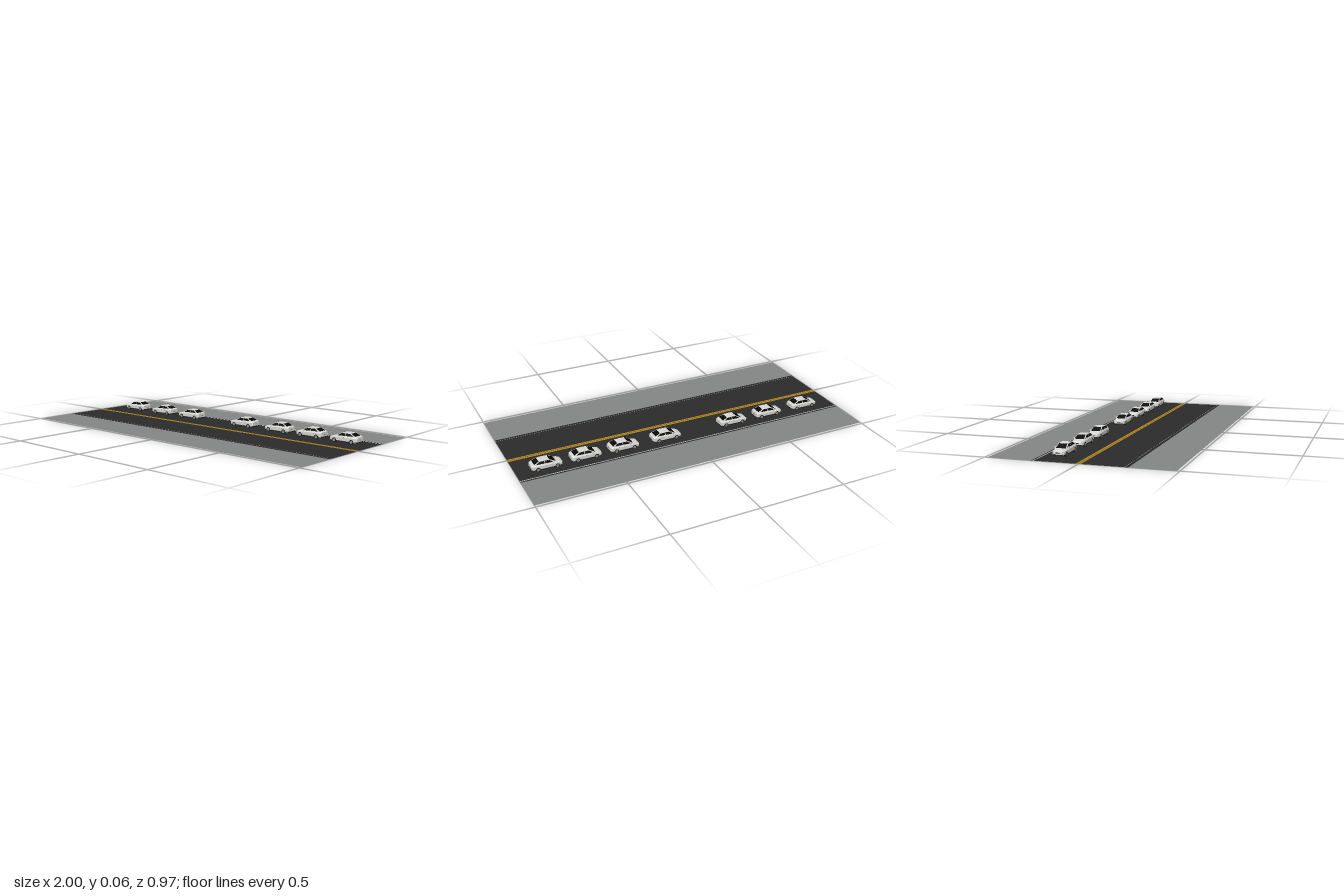
import * as THREE from 'three';
import { toCreasedNormals } from 'three/addons/utils/BufferGeometryUtils.js';

const mat = (name, color, side = THREE.FrontSide) =>
  Object.assign(new THREE.MeshStandardMaterial({ color, side }), { name });

// Joins chamfered cross-sections [x, bottom, top, halfWidth] along x.
function loft(stations) {
  const pos = [], index = [], n = 8;
  for (const [x, b, t, w] of stations) {
    const h = t - b, s = w * 0.82;
    const ring = [[-s, t], [s, t], [w, t - h * 0.25], [w, b + h * 0.2],
      [s, b], [-s, b], [-w, b + h * 0.2], [-w, t - h * 0.25]];
    for (const [z, y] of ring) pos.push(x, y, z);
  }
  const last = (stations.length - 1) * n;
  for (let i = 0; i < last; i += n) {
    for (let j = 0; j < n; j++) {
      const k = (j + 1) % n;
      index.push(i + j, i + k, i + n + k, i + j, i + n + k, i + n + j);
    }
  }
  for (let j = 1; j < n - 1; j++) index.push(0, j + 1, j, last, last + j, last + j + 1);
  const g = new THREE.BufferGeometry();
  g.setAttribute('position', new THREE.Float32BufferAttribute(pos, 3));
  g.setIndex(index);
  return toCreasedNormals(g, 0.5);
}

// A rectangle in the u, v space of a four-cornered face, lifted off it.
function patch([a, b, c, d], u0 = 0, u1 = 1, v0 = 0, v1 = 1, lift = 0) {
  const [A, B, C, D] = [a, b, c, d].map(p => new THREE.Vector3(...p));
  const normal = B.clone().sub(A).cross(D.clone().sub(A)).normalize().multiplyScalar(lift);
  const at = (u, v) => A.clone().lerp(B, u).lerp(D.clone().lerp(C, u), v).add(normal);
  const p = [at(u0, v0), at(u1, v0), at(u1, v1), at(u0, v1)];
  const g = new THREE.BufferGeometry().setFromPoints([p[0], p[1], p[2], p[0], p[2], p[3]]);
  g.computeVertexNormals();
  return g;
}

export function createModel() {
  const DS = THREE.DoubleSide;
  const paint = mat('silver paint', 0xd6d6d2, DS);
  const glass = mat('black glass', 0x080808, DS);
  const rubber = mat('dark rubber', 0x1c1c1c);
  const metal = mat('wheel metal', 0x8c8c8c);
  const amber = mat('amber lamp', 0xb07c28);
  const asphalt = mat('asphalt', 0x2b2b2b, DS);
  const pavement = mat('pavement', 0x838584, DS);
  const yellow = mat('yellow line', 0xb08418, DS);
  const white = mat('white line', 0xb4b4b4, DS);

  const root = new THREE.Group();
  root.name = 'roadWithParkedCars';

  const add = (parent, name, geometry, material, x = 0, y = 0, z = 0) => {
    const m = new THREE.Mesh(geometry, material);
    m.name = name;
    m.position.set(x, y, z);
    parent.add(m);
    return m;
  };
  const box = (parent, name, material, w, h, d, x, y, z) =>
    add(parent, name, new THREE.BoxGeometry(w, h, d), material, x, y, z);

  // Flat road strips, running the full length
  const strip = (name, material, z0, z1, y = 0) =>
    add(root, name, new THREE.PlaneGeometry(2, z1 - z0).rotateX(-Math.PI / 2), material, 0, y, (z0 + z1) / 2);
  strip('farPavement', pavement, -0.485, -0.25);
  strip('farLane', asphalt, -0.25, -0.016);
  strip('farCentreLine', yellow, -0.016, -0.003);
  strip('centreGap', asphalt, -0.003, -0.001);
  strip('nearCentreLine', yellow, -0.001, 0.01);
  strip('nearLane', asphalt, 0.01, 0.25);
  strip('nearPavement', pavement, 0.25, 0.485);
  strip('farEdgeLine', white, -0.241, -0.234, 0.0008);
  strip('nearEdgeLine', white, 0.231, 0.233, 0.0008);

  // Car, nose towards -x
  const car = new THREE.Group();
  add(car, 'body', loft([
    [-0.0875, 0.012, 0.025, 0.024],
    [-0.082, 0.009, 0.03, 0.031],
    [-0.066, 0.008, 0.034, 0.034],
    [-0.045, 0.008, 0.038, 0.035],
    [0.055, 0.008, 0.041, 0.035],
    [0.078, 0.009, 0.042, 0.033],
    [0.0865, 0.012, 0.039, 0.029],
  ]), paint);

  // Cabin faces: corners run bottom left, bottom right, top right, top left
  const P = z => ({
    fb: [-0.052, 0.036, z * 0.031], rb: [0.075, 0.041, z * 0.031],
    ft: [-0.013, 0.056, z * 0.025], rt: [0.043, 0.056, z * 0.025],
  });
  const L = P(1), R = P(-1);
  const windscreen = [R.fb, L.fb, L.ft, R.ft];
  const rearScreen = [L.rb, R.rb, R.rt, L.rt];
  const leftSide = [L.fb, L.rb, L.rt, L.ft];
  const rightSide = [R.rb, R.fb, R.ft, R.rt];
  const roof = [L.ft, L.rt, R.rt, R.ft];
  for (const face of [windscreen, rearScreen, leftSide, rightSide]) add(car, 'cabin', patch(face), paint);
  add(car, 'roof', patch(roof), paint);
  add(car, 'roofCrown', loft([
    [-0.012, 0.055, 0.0562, 0.023], [0.004, 0.055, 0.058, 0.024],
    [0.028, 0.055, 0.058, 0.024], [0.042, 0.055, 0.0562, 0.023],
  ]), paint);
  add(car, 'windscreen', patch(windscreen, 0.06, 0.94, 0.08, 0.96, 0.0006), glass);
  add(car, 'rearWindow', patch(rearScreen, 0.06, 0.94, 0.12, 0.96, 0.0006), glass);
  for (const side of [leftSide, rightSide]) {
    add(car, 'sideWindow', patch(side, 0.08, 0.48, 0.12, 0.9, 0.0006), glass);
    add(car, 'sideWindow', patch(side, 0.52, 0.92, 0.12, 0.9, 0.0006), glass);
  }

  // Bumpers, grille and number plate recess
  box(car, 'rearBumper', rubber, 0.006, 0.005, 0.058, 0.084, 0.0125, 0);
  box(car, 'frontBumper', rubber, 0.006, 0.004, 0.05, -0.0845, 0.012, 0);
  box(car, 'grille', rubber, 0.003, 0.004, 0.024, -0.0865, 0.021, 0);
  box(car, 'rearPlate', metal, 0.002, 0.005, 0.016, 0.0862, 0.025, 0);

  const wheel = new THREE.CylinderGeometry(0.0125, 0.0125, 0.011, 20).rotateX(Math.PI / 2);
  const hub = new THREE.CylinderGeometry(0.0085, 0.0085, 0.0115, 12).rotateX(Math.PI / 2);
  for (const s of [-1, 1]) {
    for (const x of [-0.055, 0.053]) {
      add(car, 'wheel', wheel, rubber, x, 0.0125, s * 0.0303);
      add(car, 'hub', hub, metal, x, 0.0125, s * 0.0305);
    }
    box(car, 'sill', rubber, 0.08, 0.003, 0.004, 0, 0.01, s * 0.0325);
    box(car, 'doorHandle', rubber, 0.006, 0.001, 0.001, 0.005, 0.031, s * 0.0352);
    box(car, 'doorHandle', rubber, 0.006, 0.001, 0.001, 0.037, 0.031, s * 0.0352);
    box(car, 'mirror', paint, 0.005, 0.005, 0.008, -0.03, 0.041, s * 0.036);
    box(car, 'mirrorLamp', amber, 0.001, 0.003, 0.006, -0.0273, 0.041, s * 0.036);
    box(car, 'tailLamp', amber, 0.004, 0.005, 0.009, 0.0835, 0.034, s * 0.0245);
    box(car, 'headLamp', metal, 0.005, 0.004, 0.009, -0.083, 0.0245, s * 0.0235);
  }

  // A row of parked cars
  [-0.805, -0.555, -0.314, 0.119, 0.379, 0.604, 0.83].forEach((x, i) => {
    const c = car.clone();
    c.name = 'car' + (i + 1);
    c.position.set(x, 0, -0.153);
    root.add(c);
  });
  return root;
}
